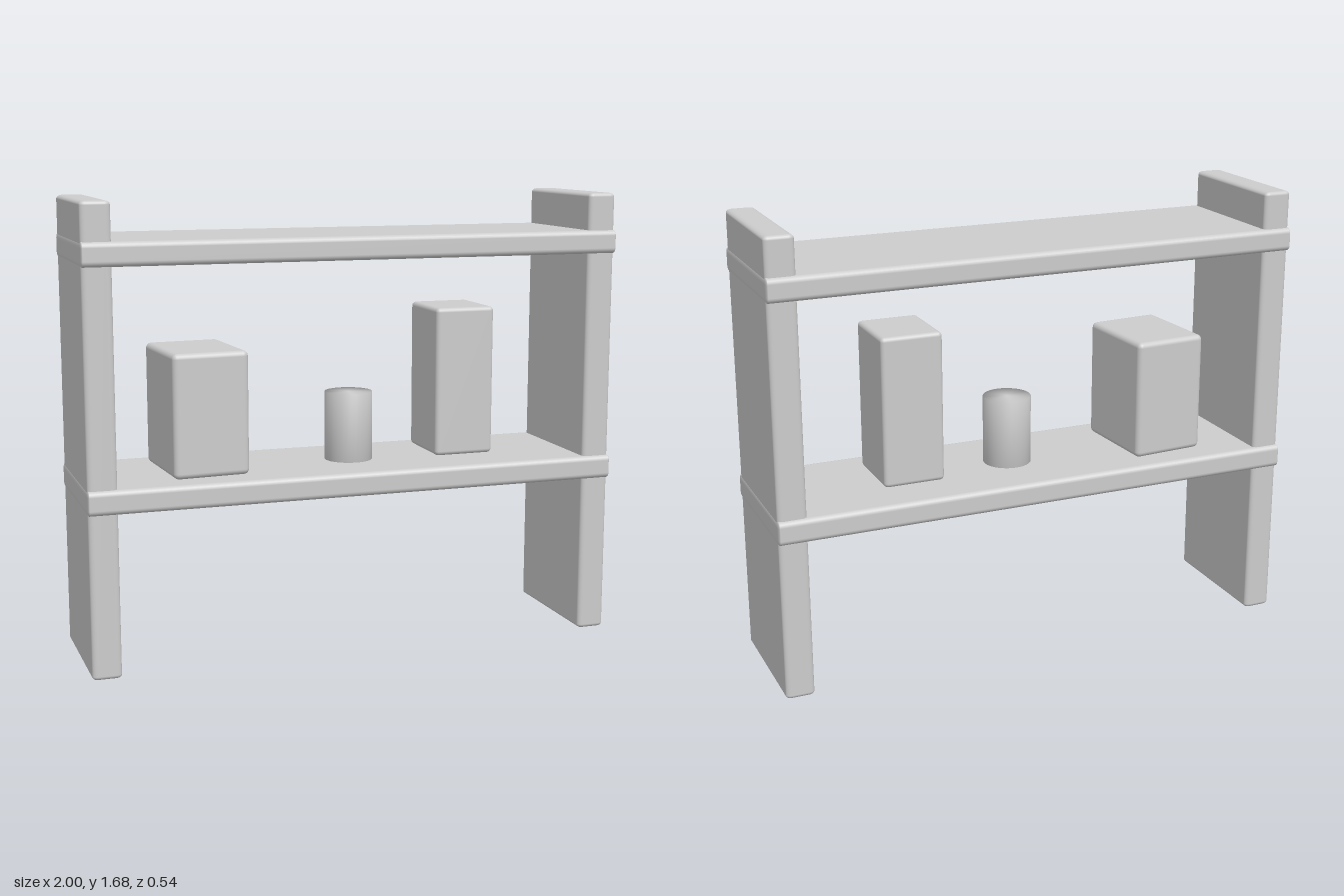
import * as THREE from 'three';
import { RoundedBoxGeometry } from 'three/addons/geometries/RoundedBoxGeometry.js';
import { mergeVertices } from 'three/addons/utils/BufferGeometryUtils.js';

const grey = new THREE.MeshStandardMaterial({ color: 0xcccccc });
grey.name = 'light grey';

// Box with its own rounding radius along each axis, standing on height y
function softBox(name, [w, h, d], [rx, ry, rz], x, y, z = 0) {
  const geometry = new RoundedBoxGeometry(w / rx, h / ry, d / rz, 3, 1);
  geometry.scale(rx, ry, rz);
  const mesh = new THREE.Mesh(geometry, grey);
  mesh.name = name;
  mesh.position.set(x, y + h / 2, z);
  return mesh;
}

// Cylinder whose normals blend softly over the rims
function softCylinder(name, radius, height, x, y) {
  let geometry = new THREE.CylinderGeometry(radius, radius, height, 32);
  geometry.deleteAttribute('normal');
  geometry.deleteAttribute('uv');
  geometry = mergeVertices(geometry);
  geometry.computeVertexNormals();
  const mesh = new THREE.Mesh(geometry, grey);
  mesh.name = name;
  mesh.position.set(x, y + height / 2, 0);
  return mesh;
}

export function createModel() {
  const group = new THREE.Group();
  group.name = 'shelfUnit';

  // Upright side panels
  for (const [side, s] of [['left', 1], ['right', -1]]) {
    group.add(softBox(side + 'Upright', [0.106, 1.675, 0.51], [0.02, 0.014, 0.015], s * 0.945, 0));
  }

  // Long boards, slightly deeper than the uprights
  for (const [name, y, h] of [['lowerShelf', 0.595, 0.088], ['upperShelf', 1.452, 0.086]]) {
    group.add(softBox(name, [2, h, 0.54], [0.006, 0.02, 0.02], 0, y));
  }

  // Objects on the lower shelf
  const wideBox = softBox('wideBox', [0.282, 0.45, 0.36], [0.02, 0.02, 0.02], -0.547, 0.685);
  wideBox.rotation.y = 0.07;
  group.add(wideBox);
  group.add(softCylinder('cup', 0.09, 0.262, 0.036, 0.678));
  group.add(softBox('tallBox', [0.23, 0.558, 0.27], [0.016, 0.016, 0.016], 0.453, 0.696));

  return group;
}
